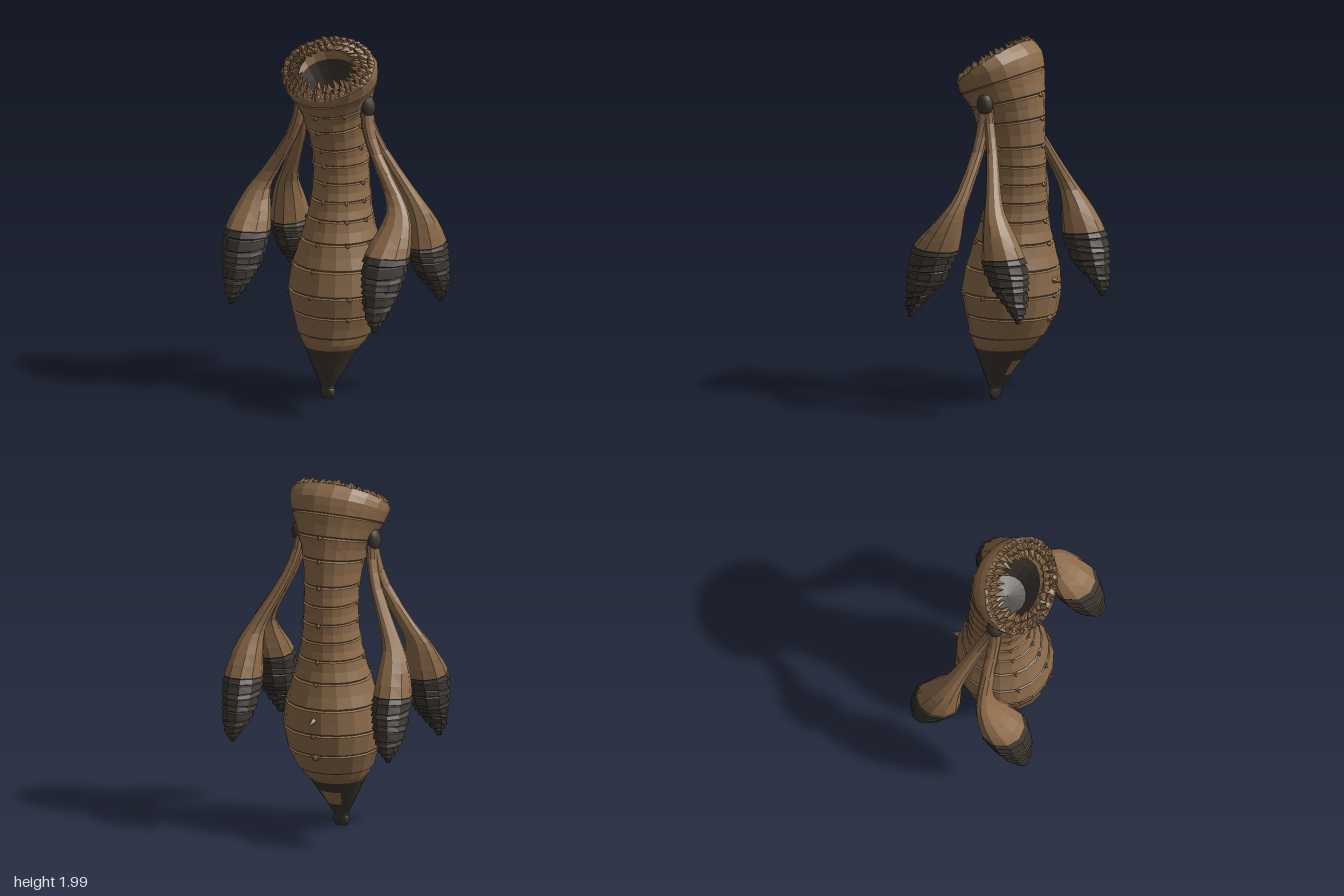
import * as THREE from 'three';
import { mergeGeometries } from 'three/addons/utils/BufferGeometryUtils.js';

const hide = new THREE.MeshStandardMaterial({ color: 0x8c6b4a });
hide.name = 'brown hide';
const shell = new THREE.MeshStandardMaterial({ color: 0x3a342e });
shell.name = 'dark shell';

let seed = 7;
const rnd = () => (seed = (seed * 16807) % 2147483647) / 2147483647;

// Ring = [y, z, halfWidth, halfDepth, frontDrop, x]
const ringPoint = ([y, z, w, d, s = 0, x = 0], a) =>
  new THREE.Vector3(x + w * Math.cos(a), y - s * Math.sin(a), z + d * Math.sin(a));

// Smooth sampling of the control rings at index u
function sampler(rings) {
  const p = new THREE.CatmullRomCurve3(rings.map(r => new THREE.Vector3(r[0], r[1], r[2])), false, 'catmullrom');
  const q = new THREE.CatmullRomCurve3(rings.map(r => new THREE.Vector3(r[3], r[4] || 0, r[5] || 0)), false, 'catmullrom');
  return u => {
    const t = u / (rings.length - 1), a = p.getPoint(t), b = q.getPoint(t);
    return [a.x, a.y, Math.max(a.z, 0.001), Math.max(b.x, 0.001), b.y, b.z];
  };
}

const grow = (r, k) => [r[0], r[1], Math.max(r[2] + k, 0.001), Math.max(r[3] + k, 0.001), r[4], r[5]];

// Faceted skin over rings listed from bottom to top, split by colour
function loft(rings, sides, isDark, name, darkName) {
  const out = [[], []];
  for (let i = 0; i < rings.length - 1; i++) {
    for (let j = 0; j < sides; j++) {
      const a0 = (j / sides) * Math.PI * 2, a1 = ((j + 1) / sides) * Math.PI * 2;
      const a = ringPoint(rings[i], a0), b = ringPoint(rings[i + 1], a0);
      const c = ringPoint(rings[i + 1], a1), d = ringPoint(rings[i], a1);
      const y = (rings[i][0] + rings[i + 1][0]) / 2;
      const list = out[isDark(y, (a0 + a1) / 2, i) ? 1 : 0];
      for (const v of [a, b, c, a, c, d]) list.push(v.x, v.y, v.z);
    }
  }
  const group = new THREE.Group();
  group.name = name;
  out.forEach((list, k) => {
    if (!list.length) return;
    const g = new THREE.BufferGeometry();
    g.setAttribute('position', new THREE.Float32BufferAttribute(list, 3));
    g.computeVertexNormals();
    const m = new THREE.Mesh(g, k ? shell : hide);
    m.name = k ? darkName : name + 'Skin';
    group.add(m);
  });
  return group;
}

// Small faceted cone standing at pos and pointing along dir
function spike(pos, dir, r, h, sides = 5) {
  const g = new THREE.ConeGeometry(r, h, sides, 1).toNonIndexed();
  g.translate(0, h * 0.4, 0);
  g.applyQuaternion(new THREE.Quaternion().setFromUnitVectors(new THREE.Vector3(0, 1, 0), dir.clone().normalize()));
  g.translate(pos.x, pos.y, pos.z);
  g.computeVertexNormals();
  return g;
}

const RIM = [1.835, 0.083, 0.28, 0.175, 0.132];
const BODY = [
  [0, 0.085, 0.032, 0.012], [0.025, 0.085, 0.046, 0.024], [0.05, 0.083, 0.042, 0.03], [0.07, 0.08, 0.038, 0.036],
  [0.14, 0.07, 0.077, 0.075], [0.225, 0.05, 0.12, 0.12], [0.29, 0.035, 0.155, 0.155], [0.36, 0.01, 0.2, 0.2],
  [0.48, -0.015, 0.246, 0.24], [0.6, -0.015, 0.268, 0.263], [0.74, -0.025, 0.25, 0.248], [0.88, -0.03, 0.206, 0.212],
  [1.0, -0.038, 0.175, 0.182], [1.1, -0.046, 0.157, 0.168], [1.2, -0.05, 0.147, 0.16], [1.3, -0.046, 0.143, 0.163],
  [1.4, -0.035, 0.146, 0.17, 0.01], [1.53, -0.012, 0.163, 0.188, 0.03], [1.64, 0.005, 0.2, 0.196, 0.05],
  [1.74, 0.038, 0.25, 0.213, 0.08], [1.8, 0.053, 0.274, 0.208, 0.11], RIM,
];
const GROOVED = 7;

function makeBody() {
  const at = sampler(BODY), rings = [[0, 0.085, 0.001, 0.001]];
  const last = BODY.length - 1;
  // Each segment swells between narrow grooves
  for (let k = 0; k < last; k++) {
    const groove = k >= GROOVED && k < last - 1;
    rings.push(grow(at(k), groove ? -0.007 : 0));
    if (groove) rings.push(grow(at(k + 0.07), 0.003));
    rings.push(at(k + 0.5));
    if (groove && k < last - 2) rings.push(grow(at(k + 0.95), 0.004));
  }
  rings.push(at(last));
  // Dark tail tip with a bare patch at the back
  const dark = (y, a) => y < 0.29 && !(y > 0.14 && y < 0.23 && Math.sin(a) < -0.8);
  const body = loft(rings, 18, dark, 'body', 'tailTip');

  // Nubs along the grooves
  const nubs = [];
  for (let k = GROOVED + 1; k < last - 2; k++) {
    for (const a of [0.1, 0.75, Math.PI / 2, 2.4, 3.04, -Math.PI / 2]) {
      if (rnd() < 0.3) continue;
      const p = ringPoint(at(k - 0.04), a);
      nubs.push(spike(p, new THREE.Vector3(Math.cos(a), -0.5, Math.sin(a)), 0.017, 0.02));
    }
  }
  nubs.push(spike(new THREE.Vector3(0, 0.68, -0.275), new THREE.Vector3(0, -0.2, -1), 0.02, 0.06));
  nubs.push(spike(new THREE.Vector3(0, 0.47, -0.245), new THREE.Vector3(0, -0.6, -1), 0.03, 0.03));
  const m = new THREE.Mesh(mergeGeometries(nubs), hide);
  m.name = 'bodyNubs';
  body.add(m);
  return body;
}

function makeMouth() {
  const rings = [
    RIM, [1.84, 0.087, 0.265, 0.165, 0.125], [1.82, 0.077, 0.205, 0.122, 0.09], [1.78, 0.062, 0.175, 0.108, 0.078],
    [1.72, 0.04, 0.15, 0.1, 0.07], [1.6, 0, 0.11, 0.1, 0.03], [1.58, 0, 0.001, 0.001],
  ];
  const mouth = loft(rings, 18, (y, a, i) => i >= 3, 'mouth', 'throat');
  // Ragged rows of teeth leaning in over the lip
  const teeth = [];
  const up = new THREE.Vector3(0, 0.79, 0.61);
  [[0.92, 38, 0.042, -0.2], [0.8, 34, 0.06, -0.5], [0.68, 26, 0.06, -1.2]].forEach(([f, n, h, lean]) => {
    for (let i = 0; i < n; i++) {
      const a = ((i + rnd() * 0.6) / n) * Math.PI * 2;
      const p = ringPoint([1.835, 0.083, 0.28 * f, 0.175 * f, 0.132 * f], a);
      const radial = p.clone().sub(new THREE.Vector3(0, 1.835, 0.083)).normalize();
      const dir = up.clone().addScaledVector(radial, lean + (rnd() - 0.5) * 0.3);
      teeth.push(spike(p, dir, 0.018 + rnd() * 0.008, h * (0.75 + rnd() * 0.5)));
    }
  });
  const m = new THREE.Mesh(mergeGeometries(teeth), hide);
  m.name = 'teeth';
  mouth.add(m);
  return mouth;
}

// Limb rings from the claw tip up to the shoulder
const FRONT = [
  [0.5, 0.34, 0.004, 0.004, 0, 0.475], [0.57, 0.315, 0.05, 0.046, 0.01, 0.47], [0.65, 0.275, 0.085, 0.083, 0.012, 0.462],
  [0.72, 0.25, 0.102, 0.105, -0.01, 0.46], [0.8, 0.222, 0.116, 0.122, 0.01, 0.458], [0.895, 0.188, 0.122, 0.122, -0.012, 0.458],
  [1.0, 0.13, 0.1, 0.09, 0, 0.46], [1.1, 0.08, 0.068, 0.055, 0, 0.452], [1.2, 0.05, 0.052, 0.038, 0, 0.398],
  [1.4, 0.035, 0.036, 0.034, 0, 0.275], [1.55, 0.03, 0.034, 0.036, 0, 0.222], [1.67, 0.02, 0.03, 0.036, 0, 0.212],
];
const BACK = [
  [0.52, -0.315, 0.004, 0.004, 0, 0.46], [0.58, -0.305, 0.045, 0.042, -0.01, 0.455], [0.65, -0.278, 0.078, 0.08, -0.012, 0.448],
  [0.72, -0.255, 0.092, 0.104, 0.01, 0.443], [0.8, -0.23, 0.1, 0.126, -0.01, 0.44], [0.87, -0.212, 0.102, 0.12, 0.012, 0.44],
  [1.0, -0.178, 0.086, 0.088, 0, 0.43], [1.1, -0.142, 0.06, 0.058, 0, 0.41], [1.2, -0.11, 0.045, 0.042, 0, 0.365],
  [1.4, -0.045, 0.032, 0.032, 0, 0.265], [1.55, 0, 0.03, 0.03, 0, 0.218], [1.66, 0.015, 0.03, 0.03, 0, 0.21],
];

function makeLimb(rows, side, zScale, name) {
  const at = sampler(rows.map(r => [r[0], r[1] * zScale, r[2], r[3], r[4], r[5] * side]));
  const rings = [];
  // Overlapping plates on the claw, plain skin above
  for (let k = 0; k < rows.length - 1; k++) {
    if (k < 5) {
      for (const [h, len] of [[0, 0.6], [0.6, 0.4]]) {
        rings.push(grow(at(k + h), k || h ? -0.012 : 0));
        rings.push(grow(at(k + h + 0.08), 0.007), grow(at(k + h + len - 0.06), -0.003));
      }
    } else rings.push(at(k), at(k + 0.5));
  }
  rings.push(at(rows.length - 1));
  return loft(rings, 10, y => y < rows[5][0], name, 'claw');
}

export function createModel() {
  const model = new THREE.Group();
  model.name = 'creature';
  model.add(makeBody(), makeMouth());
  for (const side of [1, -1]) {
    const label = side > 0 ? 'left' : 'right';
    model.add(makeLimb(FRONT, side, side > 0 ? 1 : 0.9, label + 'FrontLimb'));
    model.add(makeLimb(BACK, side, 1, label + 'BackLimb'));
    // Dark knob where the limbs meet the body
    const knob = new THREE.Mesh(new THREE.IcosahedronGeometry(0.05, 1), shell);
    knob.scale.set(0.75, 1.25, 0.95);
    knob.position.set(side * 0.222, 1.645, 0.022);
    knob.name = label + 'Shoulder';
    model.add(knob);
  }
  return model;
}
